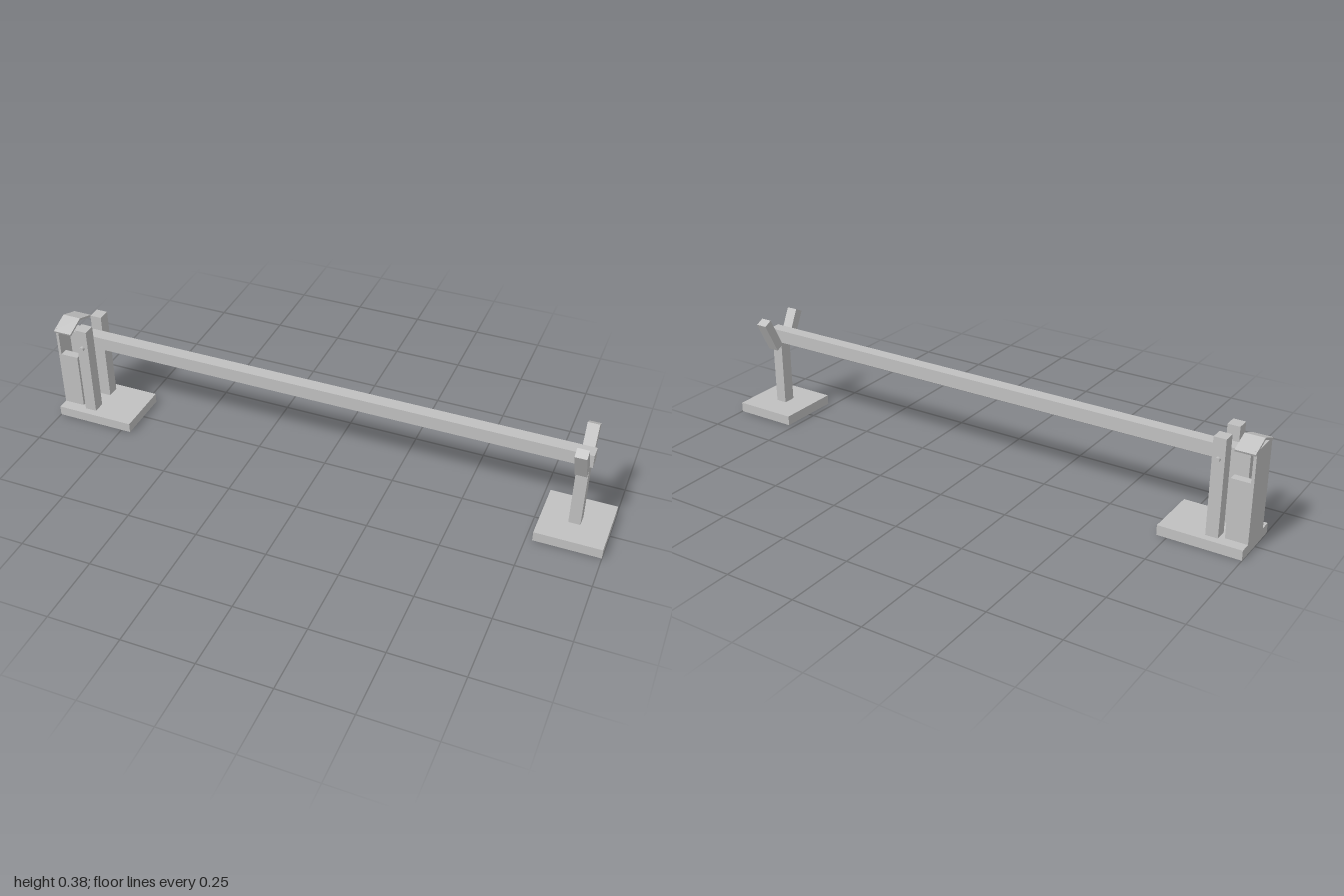
import * as THREE from 'three';

export function createModel() {
  const group = new THREE.Group();
  const grey = new THREE.MeshStandardMaterial({ color: 0xc0c0c0 });
  grey.name = 'plainGrey';

  const add = (name, geometry) => {
    const mesh = new THREE.Mesh(geometry, grey);
    mesh.name = name;
    group.add(mesh);
    return mesh;
  };
  // Box given by its extents on each axis
  const box = (name, x0, x1, y0, y1, z0, z1) => {
    const mesh = add(name, new THREE.BoxGeometry(x1 - x0, y1 - y0, z1 - z0));
    mesh.position.set((x0 + x1) / 2, (y0 + y1) / 2, (z0 + z1) / 2);
    return mesh;
  };

  // Ground plates
  box('pivotBase', -1, -0.715, 0, 0.035, -0.1, 0.1);
  box('restBase', 0.772, 1, 0, 0.035, -0.114, 0.114);

  // Long barrier arm with a weight hanging under its short end
  box('barrierArm', -0.968, 0.915, 0.277, 0.324, -0.0225, 0.0225);
  box('counterweight', -0.968, -0.917, 0.227, 0.277, -0.0225, 0.0225);

  // Rest post and the V-shaped catch that receives the arm
  box('restPost', 0.865, 0.905, 0.035, 0.277, -0.0225, 0.0225);
  for (const s of [1, -1]) {
    const prong = add('catchProng', new THREE.BoxGeometry(0.04, 0.124, 0.033));
    prong.position.set(0.885, 0.3155, s * 0.058);
    prong.rotation.x = s * 0.464;
  }

  // Pivot posts and pin
  for (const s of [1, -1]) {
    const z = s * 0.052;
    box('pivotPost', -0.908, -0.866, 0.035, 0.372, z - 0.022, z + 0.022);
  }
  const pin = add('pivotPin', new THREE.CylinderGeometry(0.008, 0.008, 0.17, 20));
  pin.rotation.x = Math.PI / 2;
  pin.position.set(-0.887, 0.302, 0);

  // Housing: lower body, cheeks either side of the arm slot, tall end panel
  box('housingBody', -0.99, -0.925, 0.035, 0.177, -0.06, 0.06);
  for (const s of [1, -1]) {
    const z = s * 0.0455;
    box('housingCheek', -0.99, -0.925, 0.177, 0.243, z - 0.0145, z + 0.0145);
  }
  box('housingEndPanel', -1, -0.99, 0.035, 0.35, -0.06, 0.06);

  // Shallow gabled roof, a chevron extruded along x
  const chevron = new THREE.Shape([
    [-0.071, 0.345], [-0.068, 0.338], [0, 0.364], [0.068, 0.338], [0.071, 0.345], [0, 0.372],
  ].map(([z, y]) => new THREE.Vector2(z, y)));
  const roof = add('housingRoof', new THREE.ExtrudeGeometry(chevron, { depth: 0.067, bevelEnabled: false }));
  roof.rotation.y = Math.PI / 2;
  roof.position.x = -1;

  return group;
}
